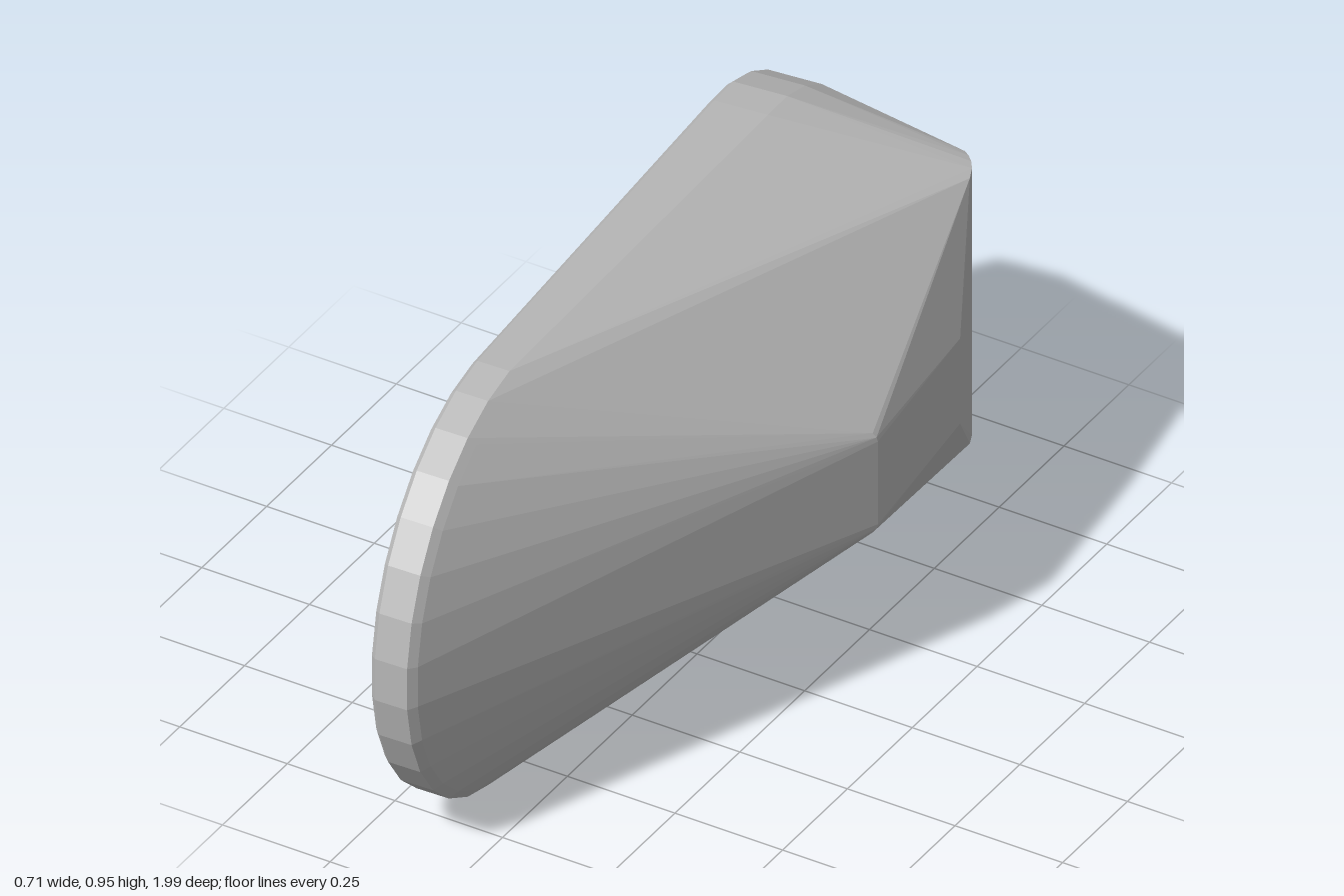
import * as THREE from 'three';
import { ConvexGeometry } from 'three/addons/geometries/ConvexGeometry.js';

const MID = 0.475; // height of the horizontal symmetry plane

// Half-round arc on a plane parallel to the slanted base, lifted by d
function arc(centreZ, radius, dir, d) {
  const points = [];
  for (let i = 0; i <= 15; i++) {
    const a = -Math.PI / 2 + (i * Math.PI) / 15;
    const z = centreZ + dir * radius * Math.cos(a);
    points.push(new THREE.Vector3(-0.16 + 0.0985 * (z - 1) + d, MID + radius * Math.sin(a), z - 0.1 * d));
  }
  return points;
}

export function createModel() {
  const group = new THREE.Group();
  group.name = 'taperedShell';
  const grey = new THREE.MeshStandardMaterial({ color: 0xb8b8b8 });
  grey.name = 'grey';

  const points = [
    // large front end: bevelled base edge, rim, bevelled rim edge
    ...arc(0.525, 0.463, 1, 0),
    ...arc(0.525, 0.475, 1, 0.012),
    ...arc(0.53, 0.475, 1, 0.085),
    ...arc(0.53, 0.457, 1, 0.1),
    // small rear end
    ...arc(-0.567, 0.41, -1, 0),
    ...arc(-0.567, 0.42, -1, 0.012),
    ...arc(-0.567, 0.42, -1, 0.13),
  ];

  // raised ridge, mirrored top and bottom: x, half height, z
  const ridge = [
    [0.14, 0.318, -0.8], [0.157, 0.321, -0.787], [0.173, 0.323, -0.77],
    [0.187, 0.323, -0.75], [0.2, 0.321, -0.72],
    [0.31, 0.103, -0.5],
    [0.354, 0.1, -0.11], [0.352, 0.11, -0.108], [0.345, 0.12, -0.105],
  ];
  for (const [x, h, z] of ridge) {
    for (const side of [-1, 1]) points.push(new THREE.Vector3(x, MID + side * h, z));
  }

  const shell = new THREE.Mesh(new ConvexGeometry(points), grey);
  shell.name = 'shell';
  group.add(shell);
  return group;
}
